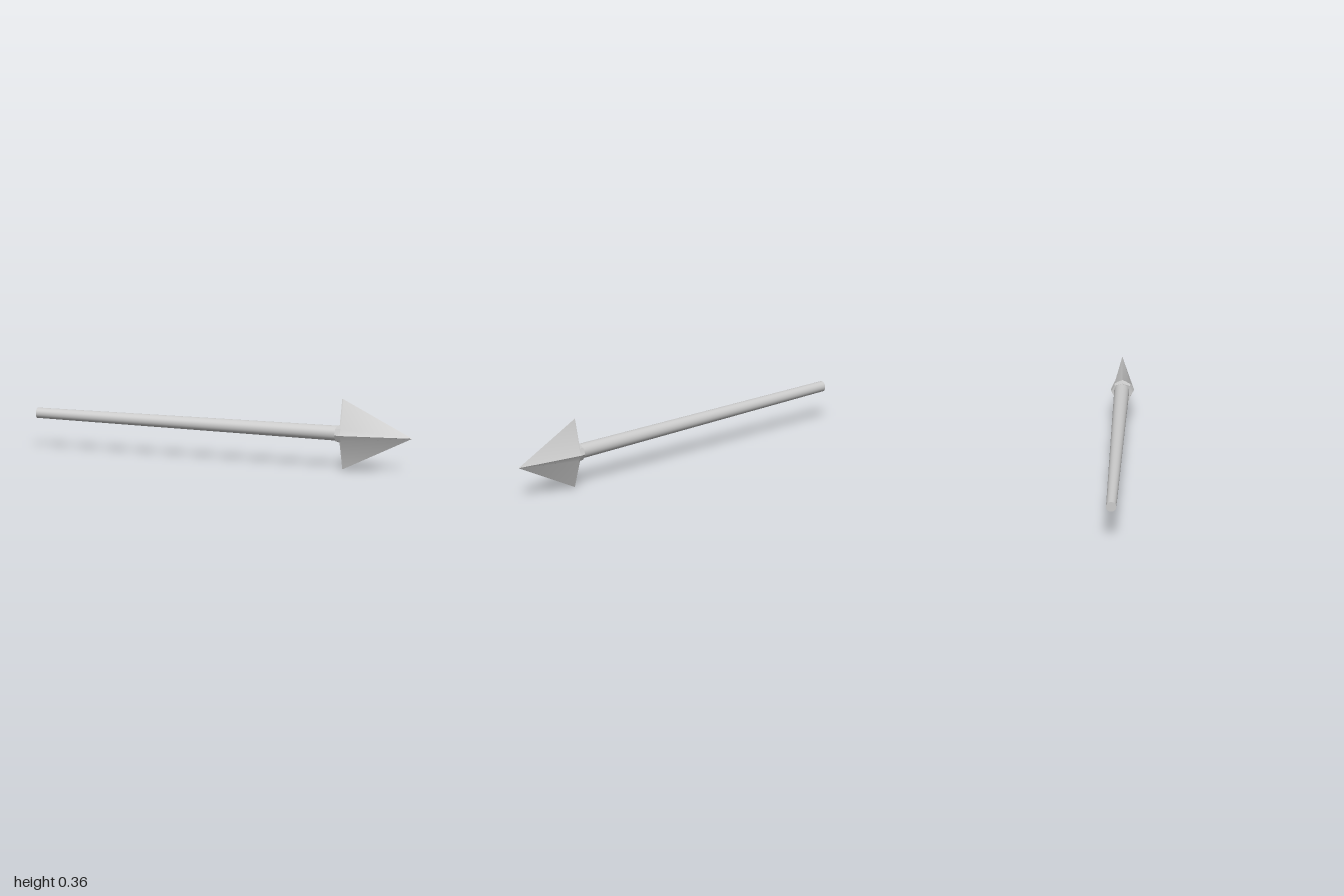
import * as THREE from 'three';
import { toCreasedNormals } from 'three/addons/utils/BufferGeometryUtils.js';

const material = new THREE.MeshStandardMaterial({ color: 0xcccccc });
const midY = 0.18;

// Eight-cornered, mirrored section: tall half-height, shoulder corner (m, n), half-width
function section(x, cz, height, m, n, width) {
  return [
    [height, 0], [m, n], [0, width], [-m, n],
    [-height, 0], [-m, -n], [0, -width], [m, -n],
  ].map(([y, z]) => [x, midY + y, cz + z]);
}

// Skin a run of sections going along +x
function loft(rings) {
  const count = rings[0].length;
  const index = [];
  for (let i = 0; i < rings.length - 1; i++) {
    for (let j = 0; j < count; j++) {
      const a = i * count + j, b = i * count + (j + 1) % count;
      index.push(a, b, b + count, a, b + count, a + count);
    }
  }
  const geometry = new THREE.BufferGeometry();
  geometry.setAttribute('position', new THREE.Float32BufferAttribute(rings.flat(2), 3));
  geometry.setIndex(index);
  return toCreasedNormals(geometry, 0.45);
}

// Slightly tapered shaft between two points
function createShaft() {
  const start = new THREE.Vector3(-1, midY, 0.023);
  const end = new THREE.Vector3(0.64, midY + 0.002, -0.003);
  const axis = end.clone().sub(start);
  const shaft = new THREE.Mesh(new THREE.CylinderGeometry(0.038, 0.026, axis.length(), 32), material);
  shaft.position.copy(start).add(end).multiplyScalar(0.5);
  shaft.quaternion.setFromUnitVectors(new THREE.Vector3(0, 1, 0), axis.normalize());
  shaft.name = 'shaft';
  return shaft;
}

export function createModel() {
  const group = new THREE.Group();
  group.name = 'arrow';
  group.add(createShaft());

  // Collar that grips the shaft and meets the back of the blade
  const collar = new THREE.Mesh(loft([
    section(0.607, 0, 0.03, 0.02, 0.02, 0.03),
    section(0.605, 0, 0.042, 0.031, 0.038, 0.054),
    section(0.635, 0, 0.05, 0.034, 0.041, 0.058),
  ]), material);
  collar.name = 'collar';

  // Flat, ridged blade narrowing to the point
  const blade = new THREE.Mesh(loft([
    section(0.64, 0, 0.03, 0.02, 0.02, 0.03),
    section(0.628, 0, 0.18, 0.032, 0.04, 0.058),
    section(0.635, 0, 0.177, 0.0315, 0.04, 0.058),
    section(1, -0.008, 0.001, 0.0004, 0.0004, 0.001),
  ]), material);
  blade.name = 'blade';

  const head = new THREE.Group();
  head.name = 'arrowhead';
  head.add(collar, blade);
  group.add(head);
  return group;
}
